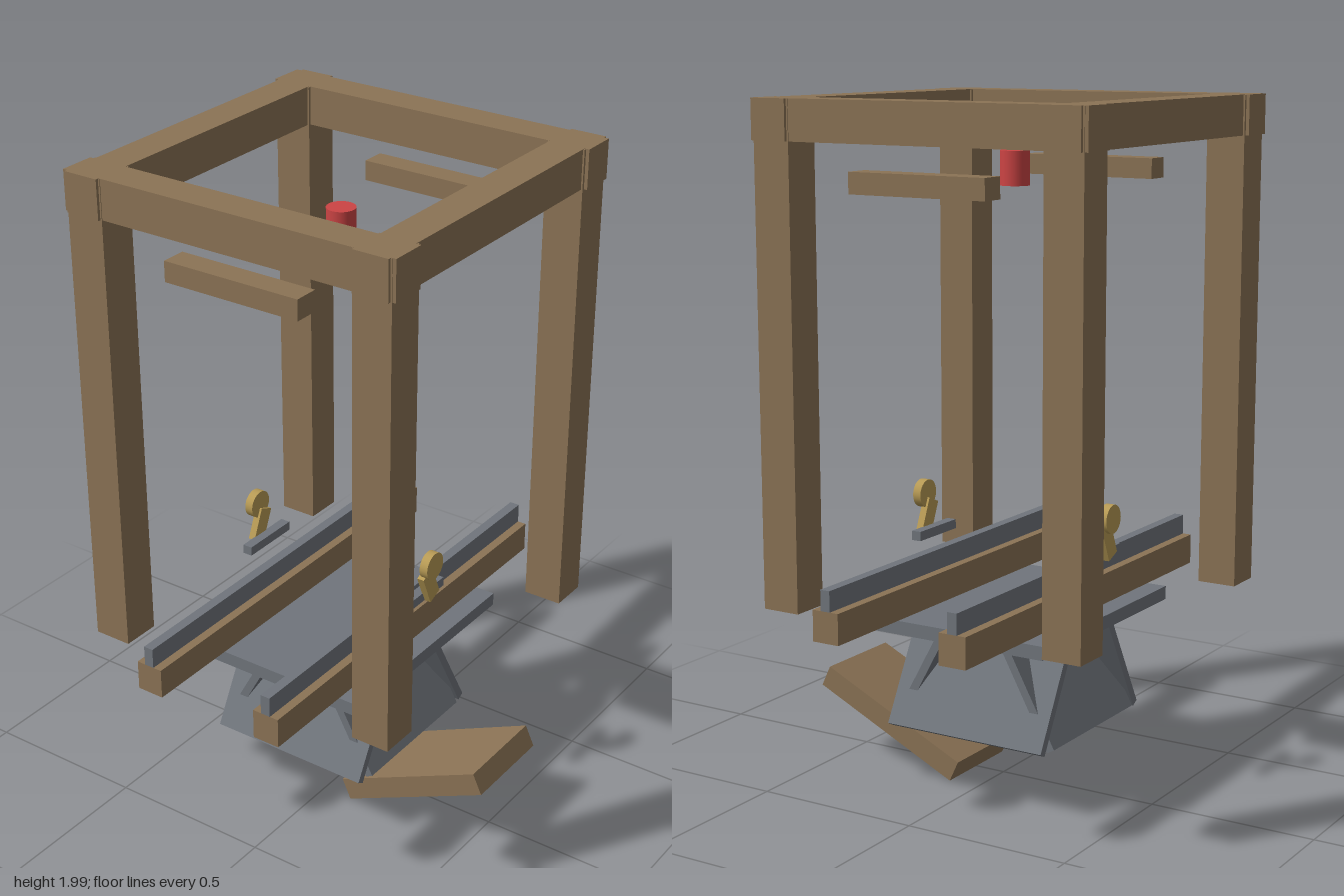
import * as THREE from 'three';

const mat = (color) => new THREE.MeshStandardMaterial({ color, flatShading: true });

export function createModel() {
  const model = new THREE.Group();
  const wood = mat(0x8b7355), steel = mat(0x70757c), brass = mat(0xb89b55), red = mat(0xcc4444);
  const CZ = -0.038; // the frame's centre line in z

  const box = (name, parent, material, size, pos, rot = [0, 0, 0]) => {
    const mesh = new THREE.Mesh(new THREE.BoxGeometry(...size), material);
    mesh.name = name;
    mesh.position.set(...pos);
    mesh.rotation.set(...rot);
    parent.add(mesh);
    return mesh;
  };

  // Everything but the loose plank is symmetric about the frame centre
  const machine = new THREE.Group();
  machine.name = 'machine';
  machine.position.z = CZ;
  model.add(machine);

  for (const s of [-1, 1]) {
    // Timber frame: posts and crossing top beams
    for (const t of [-1, 1]) {
      box('post', machine, wood, [0.117, 1.434, 0.117], [s * 0.458, 1.282, t * 0.458]);
    }
    box('topCrossBeam', machine, wood, [1.05, 0.115, 0.107], [0, 1.9425, s * 0.458]);
    box('topSideBeam', machine, wood, [0.107, 0.115, 1.053], [s * 0.461, 1.9425, 0]);

    // Short bars hanging below the side beams
    box('hangingBar', machine, wood, [0.075, 0.06, 0.43], [s * 0.457, 1.78, 0.003]);

    // Rails on timber sleepers
    box('railTimber', machine, wood, [1.296, 0.09, 0.084], [0, 0.59, s * 0.205]);
    box('rail', machine, steel, [1.296, 0.06, 0.03], [0, 0.665, s * 0.205]);

    // Hopper panels flaring outwards towards the bottom
    box('hopperSidePanel', machine, steel, [0.025, 0.34, 0.516], [s * 0.19, 0.345, 0], [0, 0, s * 0.5]);
    box('hopperEndPanel', machine, steel, [0.46, 0.34, 0.025], [0, 0.345, s * 0.178], [-s * 0.5, 0, 0]);
  }

  // Flat plate below the rails
  box('basePlate', machine, steel, [0.726, 0.04, 0.618], [0, 0.525, 0]);

  // Lever stations in front and behind, turned half a circle
  for (const turn of [0, Math.PI]) {
    const station = new THREE.Group();
    station.name = 'leverStation';
    station.rotation.y = turn;
    machine.add(station);
    box('leverPlate', station, steel, [0.19, 0.028, 0.03], [0, 0.719, 0.281]);
    box('lever', station, brass, [0.05, 0.1, 0.022], [0, 0.76, 0.305], [0, 0, 0.4]);
    const knob = new THREE.Mesh(new THREE.CylinderGeometry(0.042, 0.042, 0.026, 24).rotateX(Math.PI / 2), 
      new THREE.MeshStandardMaterial({ color: 0xb89b55 }));
    knob.name = 'knob';
    knob.position.set(0, 0.827, 0.314);
    station.add(knob);
  }

  // Red cylinder floating below the top
  const cylinder = new THREE.Mesh(new THREE.CylinderGeometry(0.042, 0.042, 0.098, 24), red);
  red.flatShading = false;
  cylinder.name = 'redCylinder';
  cylinder.position.set(0, 1.8, 0);
  machine.add(cylinder);

  // Sloping chute plank in front
  box('chutePlank', model, wood, [0.294, 0.068, 0.51], [0, 0.145, 0.312], [-0.44, 0, 0]);

  return model;
}
